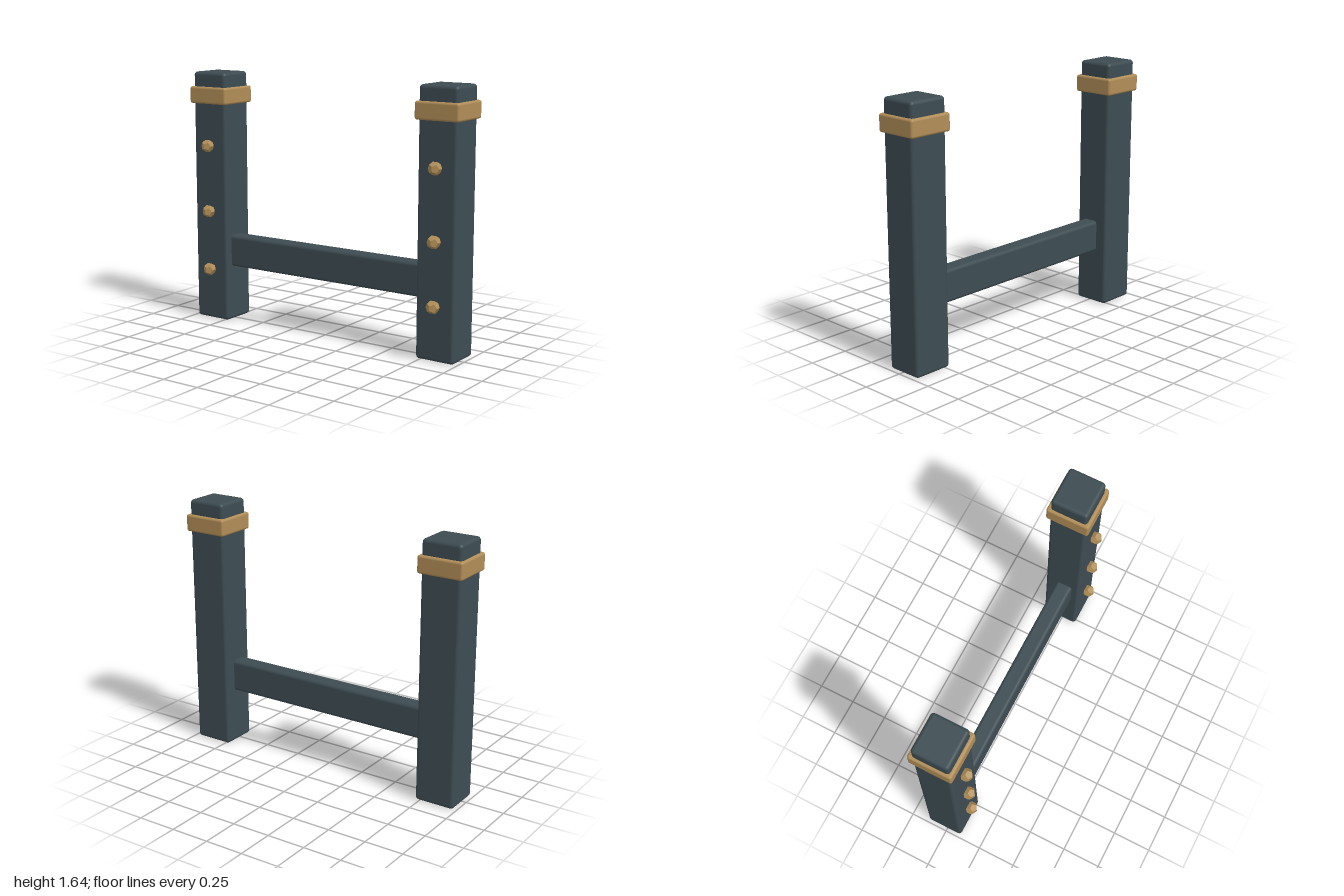
import * as THREE from 'three';
import { RoundedBoxGeometry } from 'three/addons/geometries/RoundedBoxGeometry.js';

export function createModel() {
  const slate = new THREE.MeshStandardMaterial({ color: 0x3d4c52 });
  slate.name = 'slate';
  const brass = new THREE.MeshStandardMaterial({ color: 0xb08d57 });
  brass.name = 'brass';

  const model = new THREE.Group();
  model.name = 'postFrame';

  const add = (parent, name, geometry, material, x, y, z) => {
    const mesh = new THREE.Mesh(geometry, material);
    mesh.name = name;
    mesh.position.set(x, y, z);
    parent.add(mesh);
  };

  const postGeometry = new RoundedBoxGeometry(0.26, 1.64, 0.24, 2, 0.022);
  const collarGeometry = new RoundedBoxGeometry(0.295, 0.11, 0.28, 2, 0.015);
  const studGeometry = new THREE.DodecahedronGeometry(0.042);

  // Two posts, each with a collar near the top and three studs on the front
  for (const [side, sign] of [['left', 1], ['right', -1]]) {
    const post = new THREE.Group();
    post.name = side + 'PostAssembly';
    post.position.x = 0.85 * sign;
    add(post, side + 'Post', postGeometry, slate, 0, 0.82, -0.02);
    add(post, side + 'Collar', collarGeometry, brass, 0, 1.49, -0.02);
    [0.34, 0.73, 1.163].forEach((y, i) =>
      add(post, side + 'Stud' + (i + 1), studGeometry, brass, 0, y, 0.123));
    model.add(post);
  }

  // Crossbar set into the inner faces of the posts
  add(model, 'crossbar', new RoundedBoxGeometry(1.54, 0.21, 0.11, 2, 0.022), slate, 0, 0.467, -0.005);

  return model;
}
